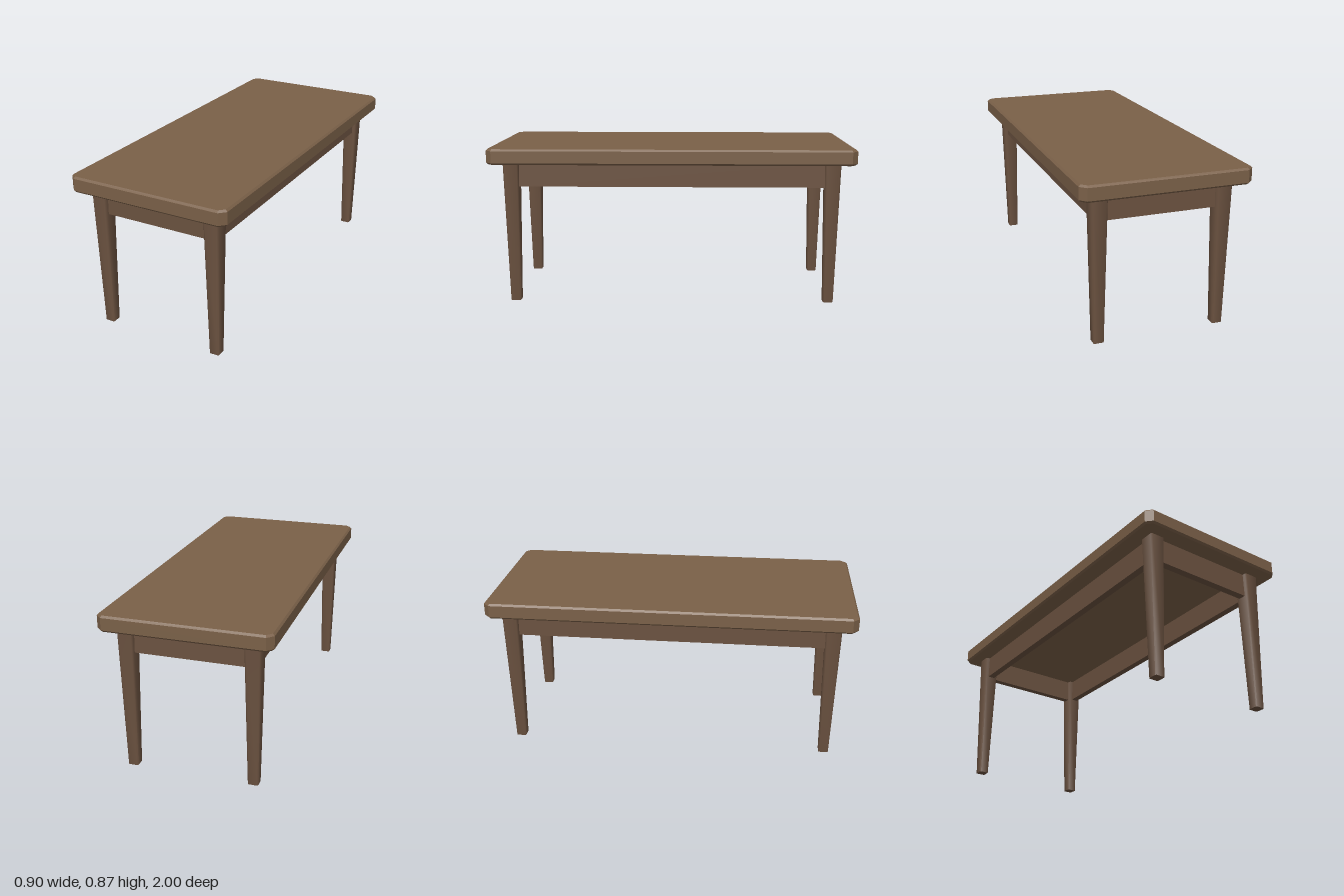
import * as THREE from 'three';
import { toCreasedNormals } from 'three/addons/utils/BufferGeometryUtils.js';

const topWood = new THREE.MeshStandardMaterial({ color: 0x7a6048 });
const legWood = new THREE.MeshStandardMaterial({ color: 0x6b5240 });

const HEIGHT = 0.87, TOP_UNDER = 0.785, LEG_X = 0.33, LEG_Z = 0.88;

// Rectangle with cut corners, given by half sizes
function cutRect(hx, hy, c) {
  return new THREE.Shape([
    [hx, -hy + c], [hx, hy - c], [hx - c, hy], [-hx + c, hy],
    [-hx, hy - c], [-hx, -hy + c], [-hx + c, -hy], [hx - c, -hy],
  ].map(([x, y]) => new THREE.Vector2(x, y)));
}

function addMesh(group, name, geometry, material, x, y, z) {
  const mesh = new THREE.Mesh(geometry, material);
  mesh.name = name;
  mesh.position.set(x, y, z);
  group.add(mesh);
}

// Slab with clipped corners and a small bevel above and below
function tabletopGeometry() {
  const bevel = 0.01;
  const g = new THREE.ExtrudeGeometry(cutRect(0.45 - bevel, 1 - bevel, 0.027), {
    depth: HEIGHT - TOP_UNDER - 2 * bevel,
    bevelEnabled: true, bevelSize: bevel, bevelThickness: bevel, bevelSegments: 1,
  });
  g.translate(0, 0, bevel);
  g.rotateX(-Math.PI / 2);
  return g;
}

// Square leg with softened corners, tapering towards the foot
function legGeometry() {
  const topHalf = 0.043, footHalf = 0.0275;
  const g = new THREE.ExtrudeGeometry(cutRect(topHalf, topHalf, 0.008), {
    depth: TOP_UNDER, bevelEnabled: false,
  });
  g.rotateX(-Math.PI / 2);
  const p = g.attributes.position;
  for (let i = 0; i < p.count; i++) {
    const s = THREE.MathUtils.lerp(footHalf / topHalf, 1, p.getY(i) / TOP_UNDER);
    p.setX(i, p.getX(i) * s);
    p.setZ(i, p.getZ(i) * s);
  }
  return toCreasedNormals(g, 1);
}

export function createModel() {
  const table = new THREE.Group();
  table.name = 'table';

  addMesh(table, 'tabletop', tabletopGeometry(), topWood, 0, TOP_UNDER, 0);

  // Legs
  const leg = legGeometry();
  for (const [sx, side] of [[1, 'Left'], [-1, 'Right']]) {
    for (const [sz, end] of [[1, 'front'], [-1, 'back']]) {
      addMesh(table, `${end}${side}Leg`, leg, legWood, sx * LEG_X, 0, sz * LEG_Z);
    }
  }

  // Aprons joining the legs under the top
  const apronHeight = TOP_UNDER - 0.652, apronY = TOP_UNDER - apronHeight / 2, thick = 0.04;
  const endApron = new THREE.BoxGeometry(LEG_X * 2 - 0.04, apronHeight, thick);
  const sideApron = new THREE.BoxGeometry(thick, apronHeight, LEG_Z * 2 - 0.04);
  addMesh(table, 'frontApron', endApron, legWood, 0, apronY, LEG_Z);
  addMesh(table, 'backApron', endApron, legWood, 0, apronY, -LEG_Z);
  addMesh(table, 'leftApron', sideApron, legWood, LEG_X, apronY, 0);
  addMesh(table, 'rightApron', sideApron, legWood, -LEG_X, apronY, 0);

  return table;
}
